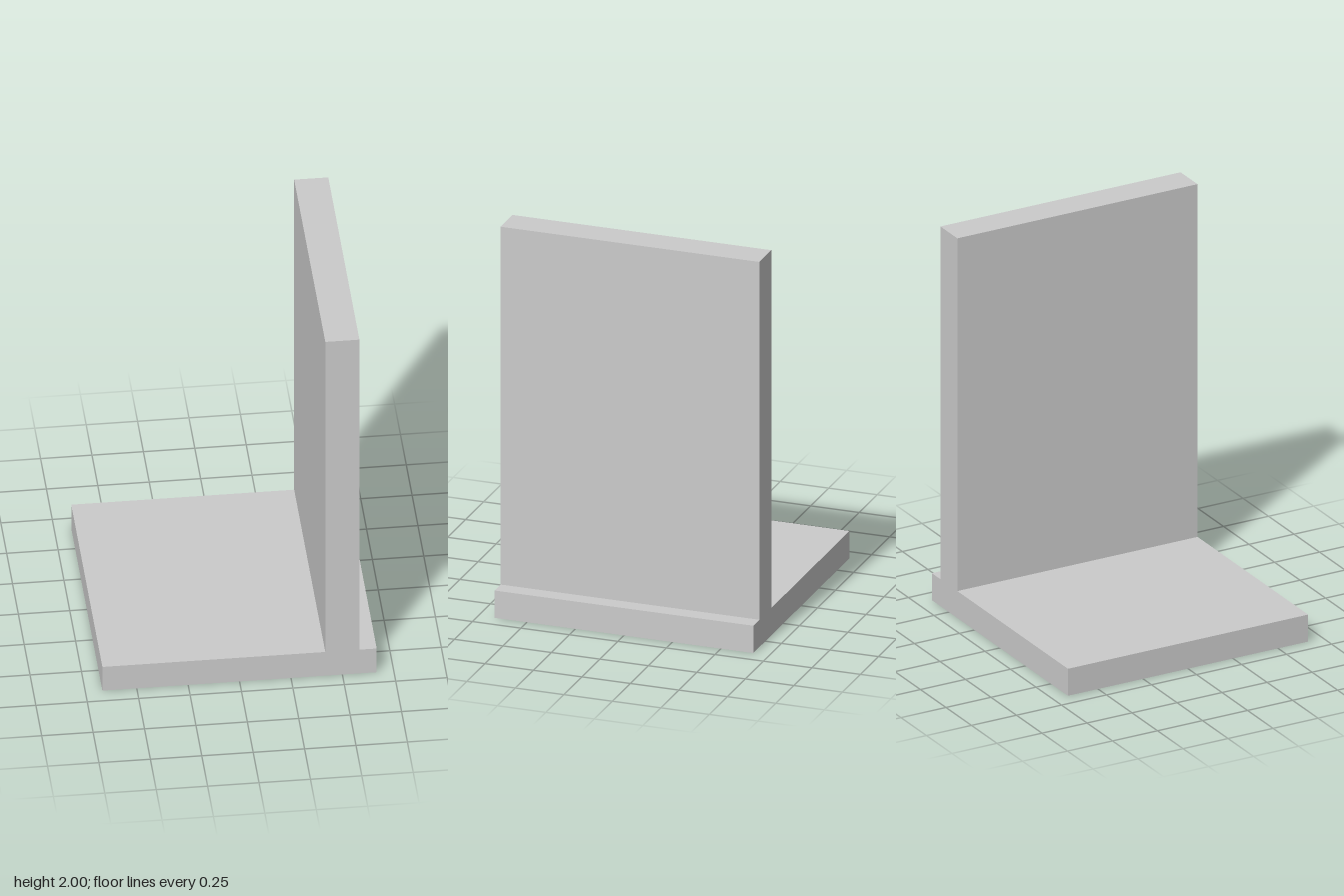
import * as THREE from 'three';

export function createModel() {
  const group = new THREE.Group();
  group.name = 'retainingWall';

  const half = 0.667; // half width and half depth of the footing
  const footTop = 0.142;
  const stemLeft = 0.417, stemRight = 0.583;

  // Cross-section: wide footing slab with an upright stem near one edge
  const section = new THREE.Shape([
    [-half, 0], [half, 0], [half, footTop], [stemRight, footTop],
    [stemRight, 2], [stemLeft, 2], [stemLeft, footTop], [-half, footTop],
  ].map(([x, y]) => new THREE.Vector2(x, y)));

  // Run the section straight along z, centred
  const geometry = new THREE.ExtrudeGeometry(section, { depth: 2 * half, bevelEnabled: false });
  geometry.translate(0, 0, -half);

  const wall = new THREE.Mesh(geometry, new THREE.MeshStandardMaterial({ color: 0xcccccc }));
  wall.name = 'footingAndStem';
  group.add(wall);
  return group;
}
